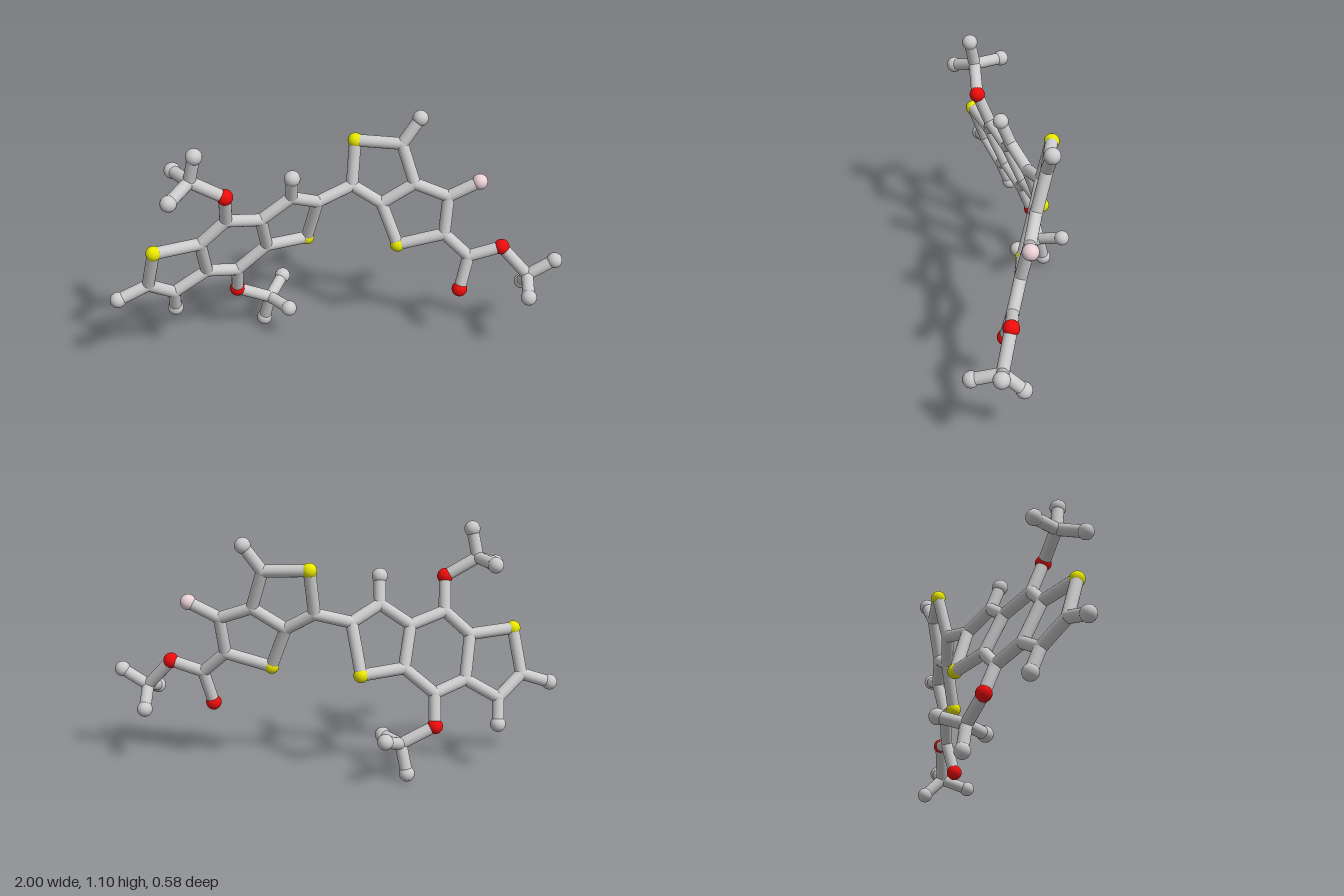
import * as THREE from 'three';

const BOND_R = 0.027;
const GREY = 0xcccccc;

// Ball radius and colour for each kind of atom
const KINDS = {
  joint: { r: 0.028, color: GREY, name: 'carbonJoint' },
  end: { r: 0.035, color: GREY, name: 'endBall' },
  oxygen: { r: 0.035, color: 0xee0c0c, name: 'oxygenBall' },
  sulfur: { r: 0.033, color: 0xe8e800, name: 'sulfurBall' },
  fluorine: { r: 0.035, color: 0xecd2d8, name: 'fluorineBall' },
};

// Each half of the molecule is flat: z follows from x and y
const leftPlane = (x, y) => -0.358 - 0.292 * x + 0.38 * y;
const rightPlane = (x, y) => 0.035 + 0.215 * x - 0.222 * y;

// Fused three-ring half; atoms are [kind, x, y, z if off the plane]
const leftHalf = {
  s1: ['sulfur', -0.8, 0.615],
  a: ['joint', -0.6, 0.605],
  b: ['joint', -0.835, 0.42],
  bEnd: ['end', -0.968, 0.373],
  c: ['joint', -0.725, 0.33],
  cEnd: ['end', -0.723, 0.22],
  d: ['joint', -0.575, 0.42],
  e: ['joint', -0.435, 0.375],
  f: ['joint', -0.3, 0.49],
  g: ['joint', -0.33, 0.665],
  h: ['joint', -0.485, 0.71],
  i: ['joint', -0.195, 0.76],
  iEnd: ['end', -0.195, 0.875],
  j: ['joint', -0.07, 0.695],
  s2: ['sulfur', -0.11, 0.477],
  // upper methoxy branch
  o1: ['oxygen', -0.488, 0.855],
  m1: ['joint', -0.63, 0.94, 0.108],
  m1Top: ['end', -0.605, 1.063, 0.13],
  m1Front: ['end', -0.722, 0.895, 0.197],
  m1Back: ['end', -0.692, 0.932, -0.02],
  // lower methoxy branch
  o2: ['oxygen', -0.435, 0.24],
  m2: ['joint', -0.285, 0.165, -0.157],
  m2Bottom: ['end', -0.312, 0.036, -0.184],
  m2Back: ['end', -0.212, 0.212, -0.257],
  m2Front: ['end', -0.212, 0.165, -0.047],
};

// Two-ring half with the ester branch
const rightHalf = {
  k: ['joint', 0.09, 0.743],
  s3: ['sulfur', 0.11, 0.942],
  l: ['joint', 0.31, 0.93],
  lEnd: ['end', 0.39, 1.042],
  m: ['joint', 0.36, 0.755],
  n: ['joint', 0.215, 0.665],
  s4: ['sulfur', 0.28, 0.477],
  p: ['joint', 0.485, 0.53],
  q: ['joint', 0.505, 0.7],
  fl: ['fluorine', 0.64, 0.768],
  r: ['joint', 0.59, 0.43],
  o3: ['oxygen', 0.55, 0.275],
  o4: ['oxygen', 0.735, 0.475],
  m3: ['joint', 0.85, 0.345, 0.135],
  m3Right: ['end', 0.965, 0.417, 0.15],
  m3Back: ['end', 0.858, 0.257, 0.05],
  m3Front: ['end', 0.822, 0.303, 0.257],
};

// Chains of bonded atoms; a chain that closes repeats its first atom
const CHAINS = [
  'a s1 b c d a', 'a h g f e d', 'g i j s2 f',
  'b bEnd', 'c cEnd', 'i iEnd',
  'h o1 m1 m1Top', 'm1Front m1 m1Back',
  'e o2 m2 m2Bottom', 'm2Back m2 m2Front',
  'j k', 'k s3 l m n k', 'n s4 p q m', 'l lEnd', 'q fl',
  'p r o3', 'r o4 m3 m3Right', 'm3Back m3 m3Front',
];

export function createModel() {
  const model = new THREE.Group();
  model.name = 'molecule';
  const balls = new THREE.Group();
  balls.name = 'atoms';
  const bonds = new THREE.Group();
  bonds.name = 'bonds';
  model.add(balls, bonds);

  // Balls
  const assets = {};
  for (const [kind, { r, color }] of Object.entries(KINDS)) {
    assets[kind] = {
      geometry: new THREE.SphereGeometry(r, 24, 16),
      material: new THREE.MeshStandardMaterial({ color }),
    };
  }
  const points = {};
  for (const [atoms, plane] of [[leftHalf, leftPlane], [rightHalf, rightPlane]]) {
    for (const [key, [kind, x, y, z = plane(x, y)]] of Object.entries(atoms)) {
      points[key] = new THREE.Vector3(x, y, z);
      const ball = new THREE.Mesh(assets[kind].geometry, assets[kind].material);
      ball.name = KINDS[kind].name;
      ball.position.copy(points[key]);
      balls.add(ball);
    }
  }

  // Bonds: a unit rod stretched between two atoms
  const rod = new THREE.CylinderGeometry(BOND_R, BOND_R, 1, 20, 1, true);
  const up = new THREE.Vector3(0, 1, 0);
  for (const chain of CHAINS) {
    const keys = chain.split(' ');
    for (let i = 1; i < keys.length; i++) {
      const from = points[keys[i - 1]];
      const to = points[keys[i]];
      const span = to.clone().sub(from);
      const bond = new THREE.Mesh(rod, assets.joint.material);
      bond.name = 'bond';
      bond.position.copy(from).add(to).multiplyScalar(0.5);
      bond.scale.y = span.length();
      bond.quaternion.setFromUnitVectors(up, span.normalize());
      bonds.add(bond);
    }
  }
  return model;
}
